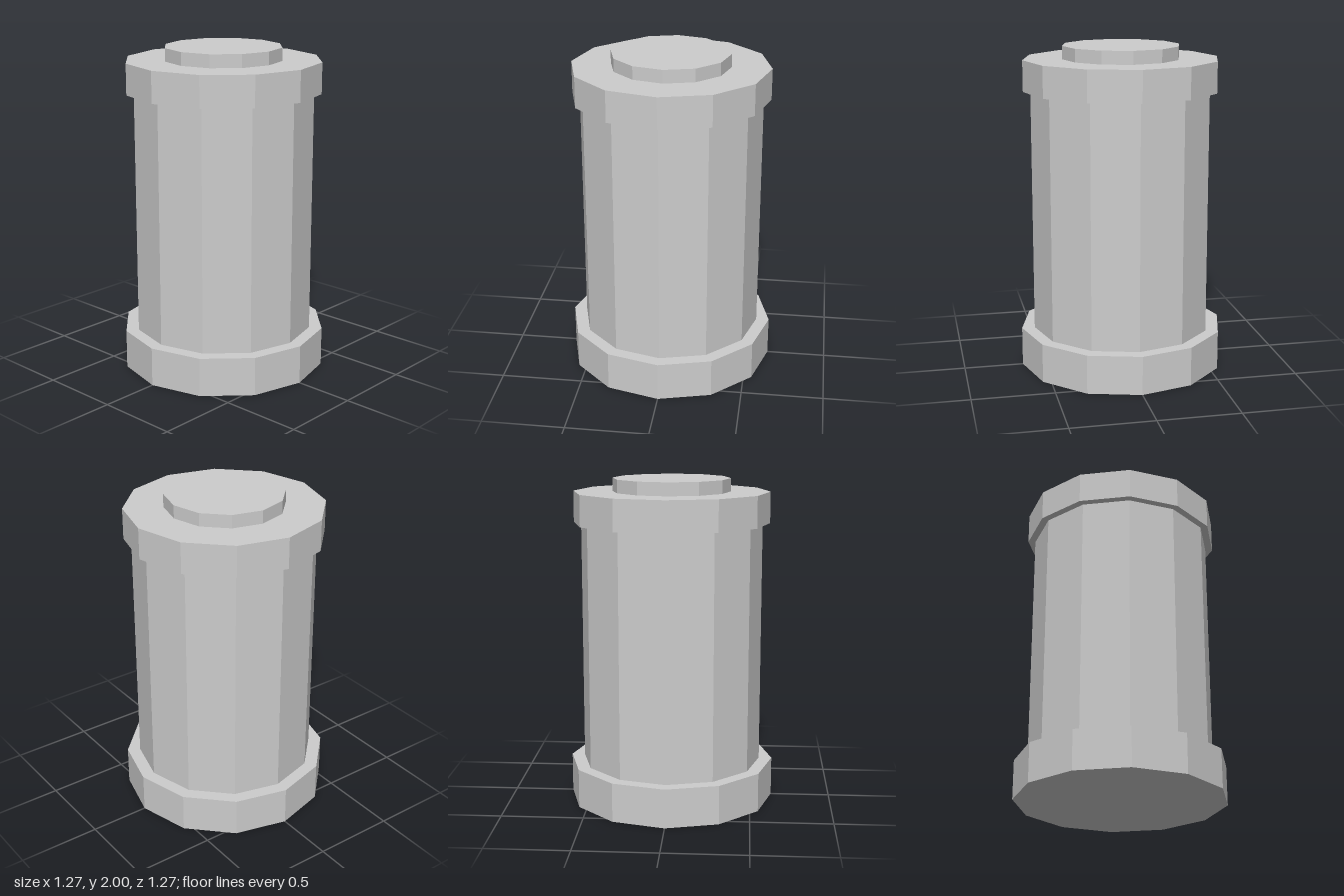
import * as THREE from 'three';

const SIDES = 12;

export function createModel() {
  const group = new THREE.Group();
  group.name = 'canister';

  const grey = new THREE.MeshStandardMaterial({ color: 0xcccccc, flatShading: true });
  grey.name = 'light grey';

  // Upright twelve-sided drum from y = bottom to y = top
  const addDrum = (name, radius, bottom, top, openEnded = false) => {
    const height = top - bottom;
    const geometry = new THREE.CylinderGeometry(radius, radius, height, SIDES, 1, openEnded);
    const mesh = new THREE.Mesh(geometry, grey);
    mesh.name = name;
    mesh.position.y = bottom + height / 2;
    group.add(mesh);
  };

  addDrum('base', 0.635, 0, 0.24);
  addDrum('body', 0.555, 0.24, 1.73, true); // ends are covered by base and collar
  addDrum('collar', 0.6, 1.73, 1.92);
  addDrum('lid', 0.36, 1.92, 2);

  return group;
}
